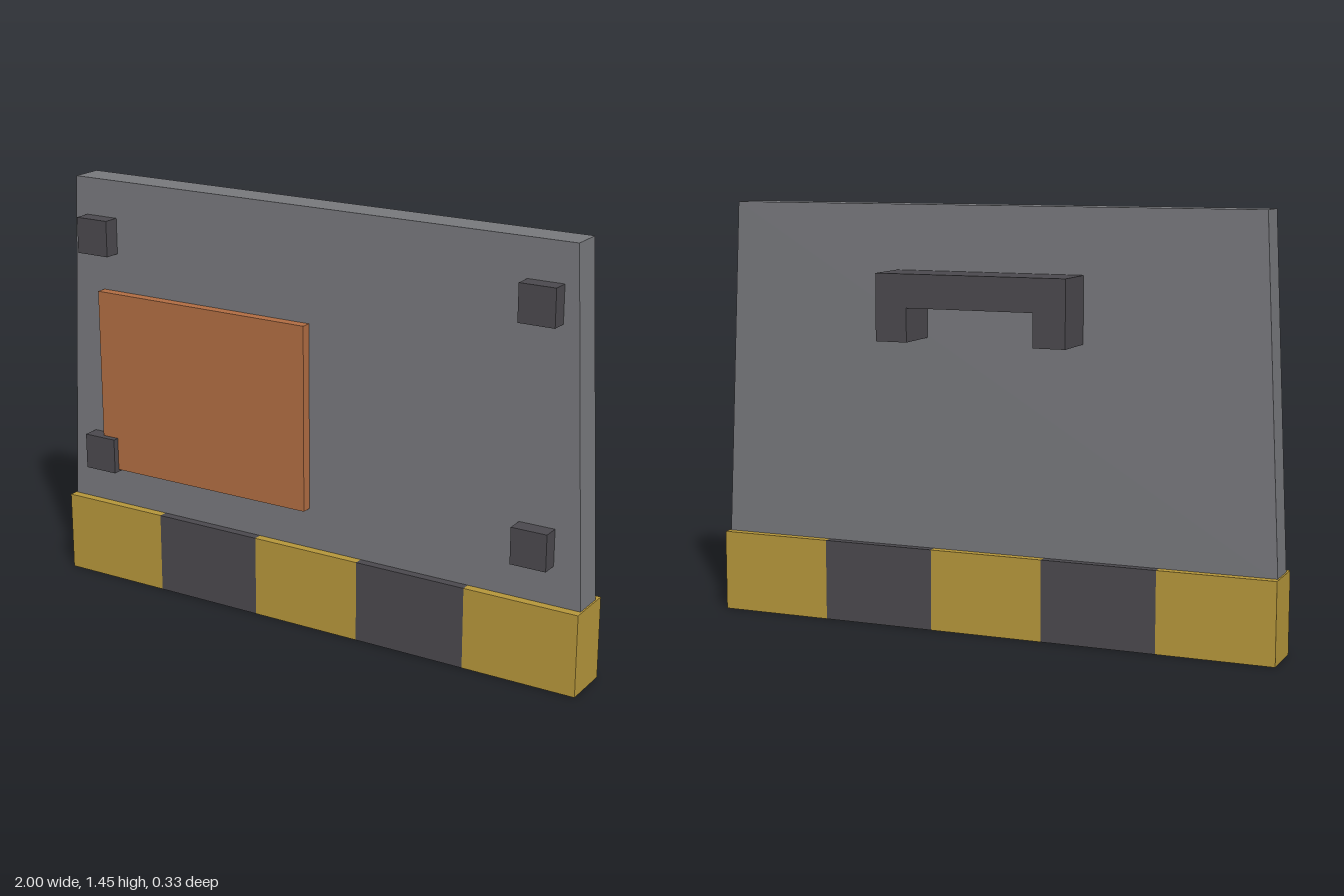
import * as THREE from 'three';

const material = (name, color) => {
  const m = new THREE.MeshStandardMaterial({ color });
  m.name = name;
  return m;
};

export function createModel() {
  const group = new THREE.Group();
  const grey = material('steel grey', 0x76777b);
  const dark = material('charcoal', 0x4a484d);
  const yellow = material('hazard yellow', 0xb4953a);
  const rust = material('rust orange', 0xb06c42);

  const add = (name, geometry, mat) => {
    const mesh = new THREE.Mesh(geometry, mat);
    mesh.name = name;
    group.add(mesh);
    return mesh;
  };
  // Box given by its minimum and maximum corners
  const box = (name, mat, [x0, y0, z0], [x1, y1, z1]) =>
    add(name, new THREE.BoxGeometry(x1 - x0, y1 - y0, z1 - z0), mat)
      .position.set((x0 + x1) / 2, (y0 + y1) / 2, (z0 + z1) / 2);
  // Outline in x and y, extruded along z
  const extrude = (points, depth) => new THREE.ExtrudeGeometry(
    new THREE.Shape(points.map(([x, y]) => new THREE.Vector2(x, y))),
    { depth, bevelEnabled: false });

  // Tapered main plate
  add('plate', extrude([[-0.995, 0.27], [0.995, 0.27], [0.938, 1.445], [-0.938, 1.445]], 0.11), grey);

  // Striped bar along the foot
  for (let i = 0; i < 5; i++) {
    const x = -1 + i * 0.4;
    box('footStripe' + (i + 1), i % 2 ? dark : yellow, [x, 0, -0.03], [x + 0.4, 0.28, 0.14]);
  }

  // Patch on the front
  box('patch', rust, [-0.835, 0.42, 0.1], [0, 1.06, 0.145]);

  // Four square bolts
  for (const x of [-0.835, 0.835]) {
    for (const y of [0.474, 1.254]) {
      box('bolt', dark, [x - 0.062, y - 0.062, 0.1], [x + 0.062, y + 0.062, 0.167]);
    }
  }

  // Handle on the back: an upside-down U
  add('handle', extrude([
    [-0.333, 1.0], [-0.222, 1.0], [-0.222, 1.113], [0.222, 1.113],
    [0.222, 1.0], [0.333, 1.0], [0.333, 1.225], [-0.333, 1.225],
  ], 0.167), dark).position.z = -0.167;

  return group;
}
